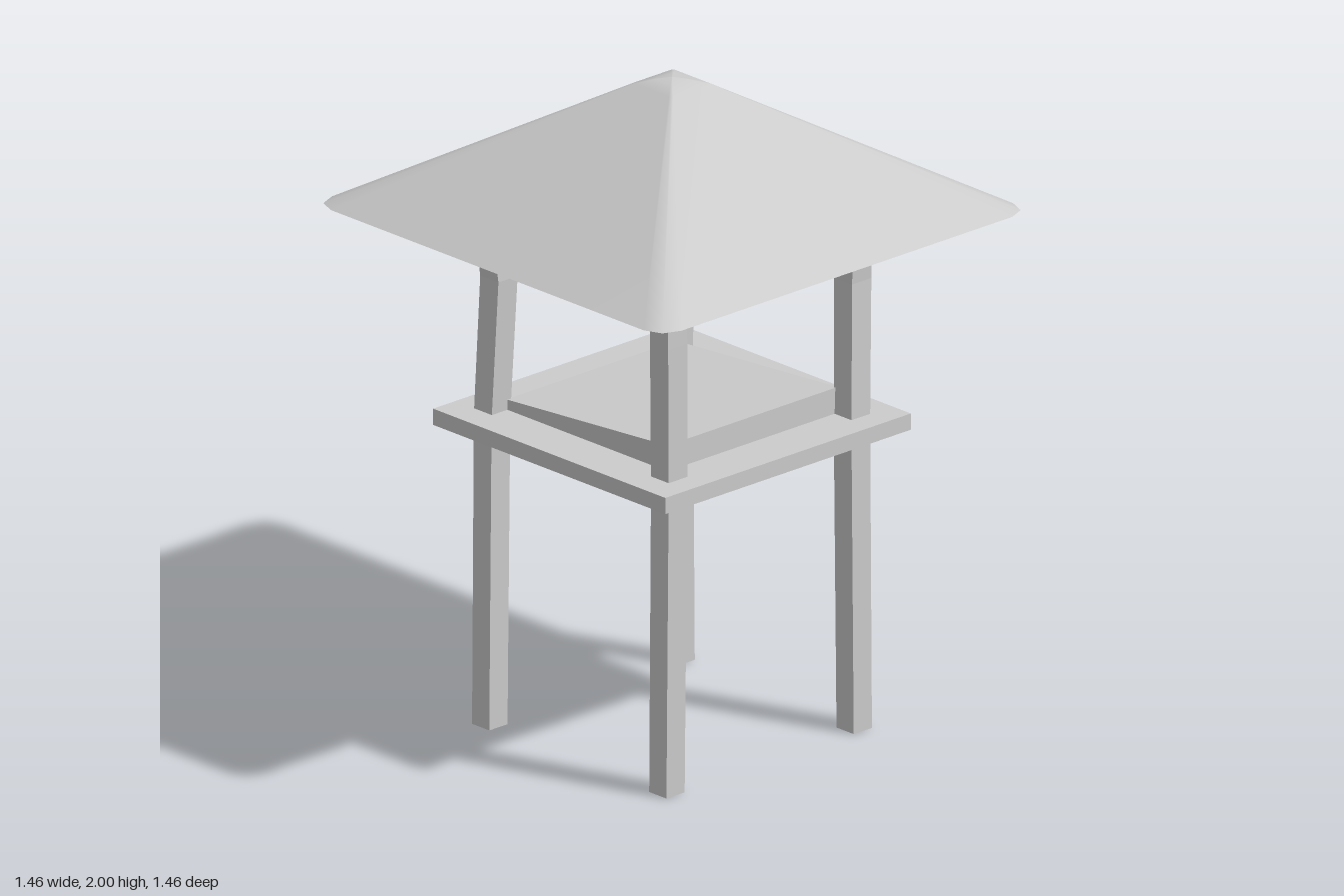
import * as THREE from 'three';

const flat = new THREE.MeshStandardMaterial({ color: 0xcccccc, flatShading: true, side: THREE.DoubleSide });
const smooth = new THREE.MeshStandardMaterial({ color: 0xcccccc, side: THREE.DoubleSide });

// Joins rings of equal point count into a skin; rings run counter-clockwise seen from above, bottom to top.
function loft(rings, capTop = false) {
  const n = rings[0].length, pos = [], idx = [];
  rings.forEach(r => r.forEach(p => pos.push(...p)));
  for (let k = 0; k < rings.length - 1; k++)
    for (let i = 0; i < n; i++) {
      const a = k * n + i, b = k * n + (i + 1) % n;
      idx.push(a, b, b + n, a, b + n, a + n);
    }
  if (capTop) {
    const s = (rings.length - 1) * n;
    for (let i = 1; i < n - 1; i++) idx.push(s, s + i, s + i + 1);
  }
  const g = new THREE.BufferGeometry();
  g.setAttribute('position', new THREE.Float32BufferAttribute(pos, 3));
  g.setIndex(idx);
  g.computeVertexNormals();
  return g;
}

// Square ring, with y given as a number or a function of z
function square(half, y, cx = 0, cz = 0) {
  return [[1, 1], [1, -1], [-1, -1], [-1, 1]].map(([x, z]) =>
    [cx + x * half, typeof y === 'function' ? y(z * half) : y, cz + z * half]);
}

// Square ring with blunted corners
function bluntSquare(half, y) {
  const corner = [[0.895, 1], [0.97, 0.97], [1, 0.895]], pts = [];
  for (let q = 0; q < 4; q++)
    for (const [u, v] of corner) {
      let x = u, z = v;
      for (let r = 0; r < q; r++) [x, z] = [z, -x];
      pts.push([x * half, y, z * half]);
    }
  return pts;
}

export function createModel() {
  const model = new THREE.Group();
  const add = (name, geometry, material = flat) => {
    const mesh = new THREE.Mesh(geometry, material);
    mesh.name = name;
    model.add(mesh);
    return mesh;
  };

  // Roof: outer skin with rounded peak
  add('roofTop', loft([bluntSquare(0.73, 1.6), bluntSquare(0.08, 1.98),
    bluntSquare(0.035, 1.994), bluntSquare(0.001, 2)], true), smooth);
  // Roof underside: flat eave, then a hollow
  add('roofUnderside', loft([bluntSquare(0.73, 1.6), bluntSquare(0.62, 1.6),
    bluntSquare(0.07, 1.925), bluntSquare(0.001, 1.94)], true), smooth);

  // Crossing roof beams
  for (const s of [-1, 1]) {
    add('roofBeamAcross', new THREE.BoxGeometry(1.3, 0.06, 0.05)).position.set(0, 1.6, s * 0.37);
    add('roofBeamAlong', new THREE.BoxGeometry(0.05, 0.06, 1.3)).position.set(s * 0.37, 1.6, 0);
  }

  // Slightly crooked posts, open at the foot: side x, side z, bend in x and z
  const posts = [[1, 1, 0.015, -0.015], [1, -1, 0, 0.003], [-1, 1, 0, 0], [-1, -1, 0.015, 0.015]];
  for (const [sx, sz, bx, bz] of posts) {
    const x = sx * 0.37, z = sz * 0.37, waist = sx * 0.361;
    add('post', loft([square(0.036, 0, x, z), square(0.037, 0.95, waist, z),
      square(0.038, 1.38, sx * 0.363 + bx, z + bz), square(0.036, 1.6, x, z)], true));
  }

  // Platform: hollow rim with an opening under the sloped floor
  add('platform', loft([square(0.485, 0.92), square(0.485, 0.97), square(0.336, 0.97)]));

  // Sloped floor, higher at the front
  add('slopedFloor', loft([square(0.336, 0.97), square(0.336, z => 1.025 + z * 0.072)], true));

  return model;
}
